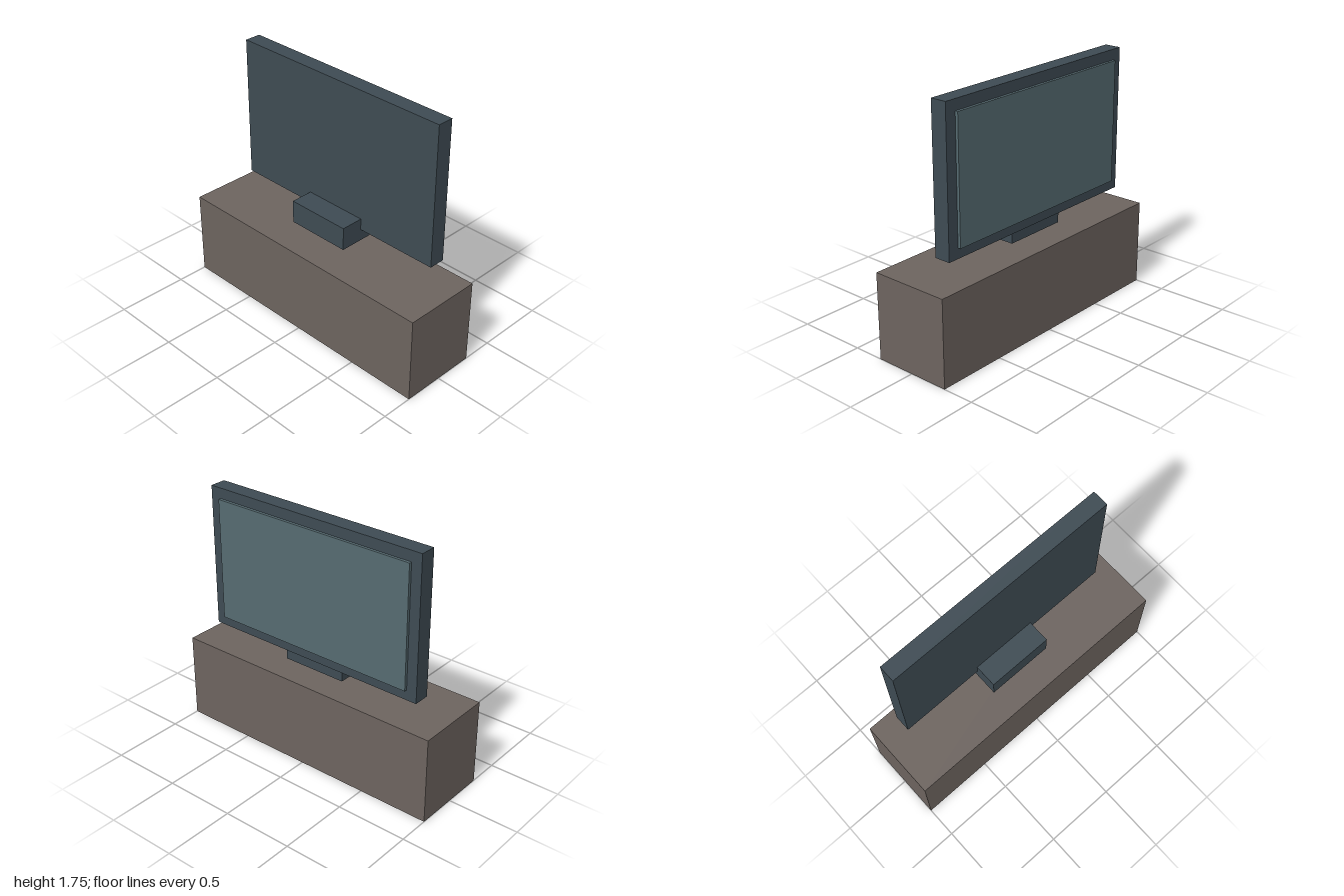
import * as THREE from 'three';

export function createModel() {
  const model = new THREE.Group();
  model.name = 'televisionOnCabinet';

  const material = (name, color) => {
    const m = new THREE.MeshStandardMaterial({ color });
    m.name = name;
    return m;
  };
  const brown = material('cabinet brown', 0x6d645f);
  const slate = material('dark slate', 0x3e4b53);
  const glass = material('screen teal', 0x566b71);

  // Box given by its extents along each axis
  const addBox = (name, mat, [x0, x1], [y0, y1], [z0, z1]) => {
    const mesh = new THREE.Mesh(new THREE.BoxGeometry(x1 - x0, y1 - y0, z1 - z0), mat);
    mesh.position.set((x0 + x1) / 2, (y0 + y1) / 2, (z0 + z1) / 2);
    mesh.name = name;
    model.add(mesh);
  };

  // Low cabinet
  addBox('cabinet', brown, [-1, 1], [0, 0.604], [-0.281, 0.281]);
  // Stand block, overlapping the lower edge of the housing
  addBox('stand', slate, [-0.235, 0.233], [0.665, 0.829], [-0.154, 0.094]);
  // Television housing
  addBox('housing', slate, [-0.833, 0.832], [0.748, 1.745], [-0.181, -0.067]);
  // Screen slab, raised from the -z side of the housing
  addBox('screen', glass, [-0.76, 0.754], [0.819, 1.672], [-0.201, -0.175]);

  return model;
}
